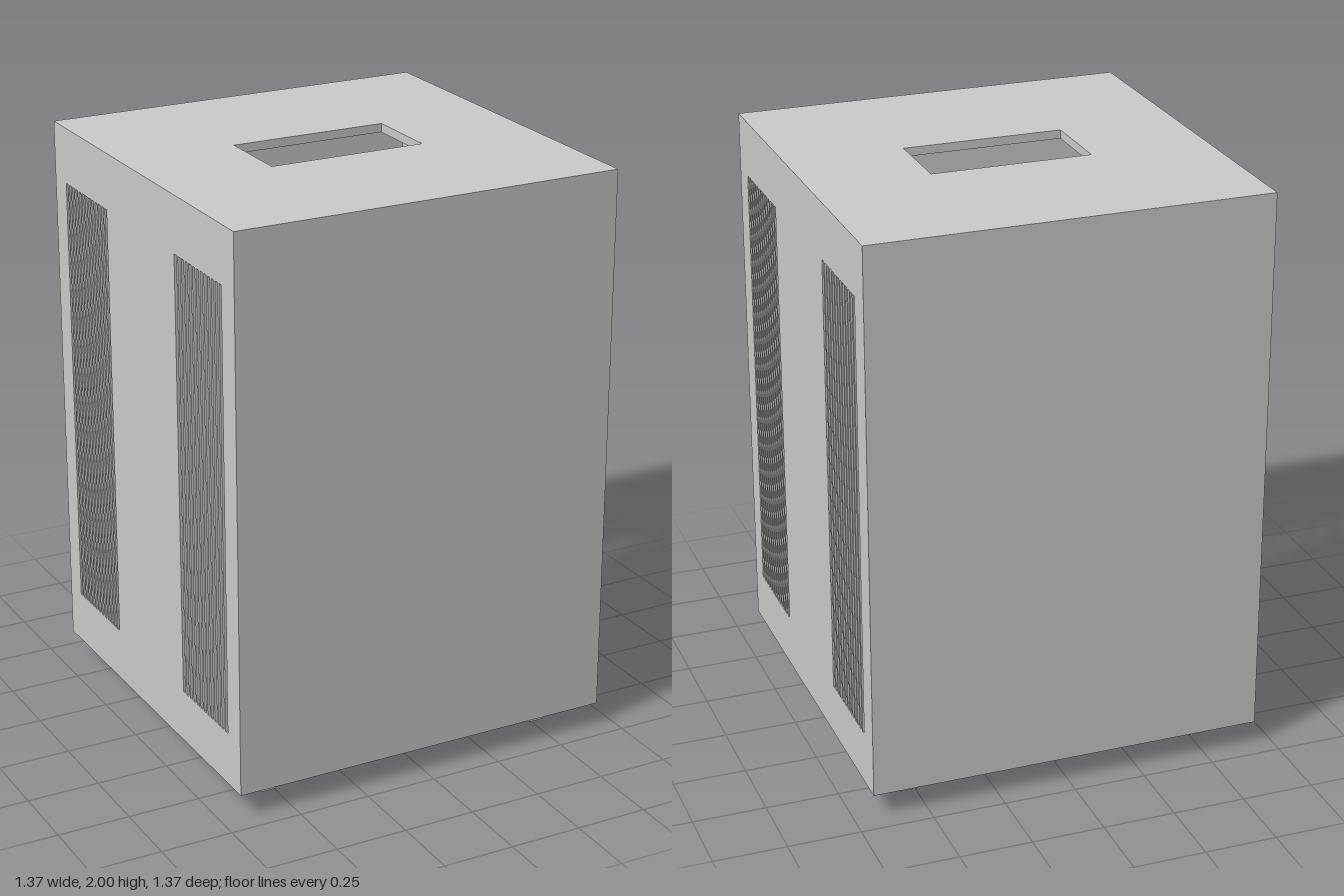
import * as THREE from 'three';

const HALF = 0.685, BASE = 0.085, TOP = 2, T = 0.03;
const grey = new THREE.MeshStandardMaterial({ color: 0xcccccc, flatShading: true });

function add(parent, name, geometry) {
  const mesh = new THREE.Mesh(geometry, grey);
  mesh.name = name;
  parent.add(mesh);
  return mesh;
}

// Traces a rectangle into a Shape or Path
function rect(path, x0, y0, x1, y1) {
  path.moveTo(x0, y0);
  path.lineTo(x1, y0);
  path.lineTo(x1, y1);
  path.lineTo(x0, y1);
  path.closePath();
  return path;
}

// Rectangular panel with rectangular holes, thickness centred on its own z = 0
function panel(outer, holes, thickness) {
  const shape = rect(new THREE.Shape(), ...outer);
  holes.forEach(h => shape.holes.push(rect(new THREE.Path(), ...h)));
  return new THREE.ExtrudeGeometry(shape, { depth: thickness, bevelEnabled: false })
    .translate(0, 0, -thickness / 2);
}

// Horizontal plate with one central opening
function plate(holeX, holeZ, thickness, y) {
  return panel([-HALF, -HALF, HALF, HALF], [[-holeX, -holeZ, holeX, holeZ]], thickness)
    .rotateX(-Math.PI / 2).translate(0, y, 0);
}

// Box whose lower face is drawn in by an inset on every side
function taperedBox(w, h, d, inset) {
  const g = new THREE.BoxGeometry(w, h, d), p = g.attributes.position;
  for (let i = 0; i < p.count; i++) {
    if (p.getY(i) > 0) continue;
    p.setX(i, p.getX(i) - Math.sign(p.getX(i)) * inset);
    p.setZ(i, p.getZ(i) - Math.sign(p.getZ(i)) * inset);
  }
  g.computeVertexNormals();
  return g;
}

export function createModel() {
  const model = new THREE.Group();
  model.name = 'ventedCabinet';

  // Top and bottom plates with their openings
  const bottomT = 0.09;
  add(model, 'topPlate', plate(0.277, 0.137, T, TOP - T / 2));
  add(model, 'bottomPlate', plate(0.58, 0.185, bottomT, BASE + bottomT / 2));

  // Plain front and back walls
  const y0 = BASE + bottomT, y1 = TOP - T;
  for (const s of [1, -1]) {
    add(model, s > 0 ? 'frontWall' : 'backWall', new THREE.BoxGeometry(2 * (HALF - T), y1 - y0, T))
      .position.set(0, (y0 + y1) / 2, s * (HALF - T / 2));
  }

  // Side walls, each with two banks of upright vent slots
  const slots = [], count = 13, pitch = 0.0266, width = 0.016;
  for (const s of [1, -1]) {
    for (let i = 0; i < count; i++) {
      const c = s * (0.26 + width / 2 + i * pitch);
      slots.push([c - width / 2, 0.27, c + width / 2, 1.805]);
    }
  }
  for (const s of [1, -1]) {
    const wall = add(model, s > 0 ? 'leftVentWall' : 'rightVentWall', panel([-HALF, y0, HALF, y1], slots, T));
    wall.rotation.y = Math.PI / 2;
    wall.position.x = s * (HALF - T / 2);
  }

  // Four stepped feet: pad, taper and sole
  for (const sx of [1, -1]) for (const sz of [1, -1]) {
    const foot = new THREE.Group();
    foot.name = 'foot';
    foot.position.set(sx * 0.522, 0, sz * 0.423);
    add(foot, 'footPad', new THREE.BoxGeometry(0.11, 0.027, 0.326)).position.y = 0.0715;
    add(foot, 'footTaper', taperedBox(0.11, 0.028, 0.326, 0.027)).position.y = 0.044;
    add(foot, 'footSole', new THREE.BoxGeometry(0.056, 0.03, 0.272)).position.y = 0.015;
    model.add(foot);
  }
  return model;
}
